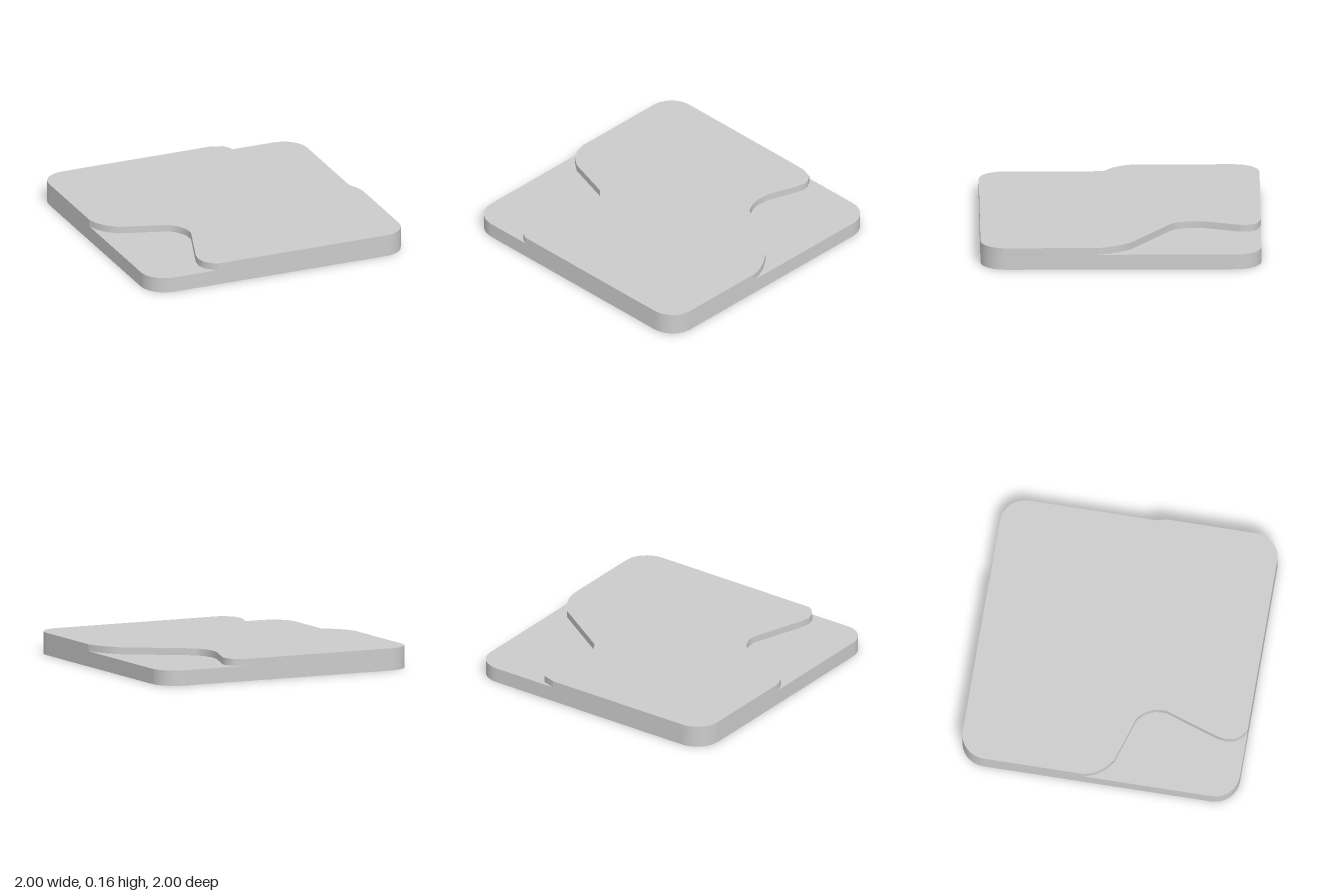
import * as THREE from 'three';

const BASE = 0.11, TOP = 0.16, R = 0.18;
const material = new THREE.MeshStandardMaterial({ color: 0xcccccc, side: THREE.DoubleSide });

// Step edges as [x, z]: back step runs from the back side to the left side,
// front step runs from the front side to the right side.
const backStep = [
  [0.32, -1], [0.415, -0.97], [0.445, -0.925], [0.455, -0.88], [0.447, -0.835], [0.367, -0.6],
  [0.36, -0.5], [0.38, -0.43], [0.415, -0.366], [0.874, -0.067], [0.94, 0.02], [0.98, 0.1], [1, 0.17],
];
const frontStep = [
  [-0.48, 1], [-0.52, 0.975], [-0.56, 0.928], [-0.575, 0.864], [-0.564, 0.794], [-0.43, 0.4],
  [-0.436, 0.32], [-0.473, 0.25], [-0.52, 0.206], [-0.858, 0.1], [-0.928, 0.045], [-0.976, -0.024], [-1, -0.1],
];

// Rounded corner in the quadrant (sx, sz), running from angle a through a quarter turn
function corner(sx, sz, a) {
  const pts = [];
  for (let i = 0; i <= 8; i++) {
    const t = a + (i / 8) * Math.PI / 2;
    pts.push([sx * (1 - R) + R * Math.cos(t), sz * (1 - R) + R * Math.sin(t)]);
  }
  return pts;
}

// Flat horizontal face bounded by an outline
function plate(name, outline, y) {
  const shape = new THREE.Shape(outline.map(([x, z]) => new THREE.Vector2(x, -z)));
  const geo = new THREE.ShapeGeometry(shape);
  geo.rotateX(-Math.PI / 2);
  geo.translate(0, y, 0);
  const mesh = new THREE.Mesh(geo, material);
  mesh.name = name;
  return mesh;
}

// Vertical strip along a path; its front lies to the outside of a clockwise (from above) path
function wall(name, path, y0, y1) {
  const pos = [], idx = [];
  path.forEach(([x, z], i) => {
    pos.push(x, y0, z, x, y1, z);
    if (i) {
      const a = 2 * (i - 1);
      idx.push(a, a + 1, a + 2, a + 1, a + 3, a + 2);
    }
  });
  const geo = new THREE.BufferGeometry();
  geo.setAttribute('position', new THREE.Float32BufferAttribute(pos, 3));
  geo.setIndex(idx);
  geo.computeVertexNormals();
  const mesh = new THREE.Mesh(geo, material);
  mesh.name = name;
  return mesh;
}

export function createModel() {
  const group = new THREE.Group();
  group.name = 'steppedTile';

  const backLeft = corner(1, -1, -Math.PI / 2);
  const frontLeft = corner(1, 1, 0);
  const frontRight = corner(-1, 1, Math.PI / 2);
  const backRight = corner(-1, -1, Math.PI);

  // Rim parts belonging to the raised area
  const raisedFront = [backStep.at(-1), ...frontLeft, frontStep[0]];
  const raisedBack = [frontStep.at(-1), ...backRight, backStep[0]];

  // Top faces
  group.add(plate('raisedTop', [...backStep, ...frontLeft, ...frontStep, ...backRight], TOP));
  group.add(plate('lowTopBack', [...backLeft, ...[...backStep].reverse()], BASE));
  group.add(plate('lowTopFront', [...frontRight, ...[...frontStep].reverse()], BASE));

  // Outer walls: full height around the raised area, lower at the two stepped corners
  group.add(wall('raisedWallFront', raisedFront, 0, TOP));
  group.add(wall('raisedWallBack', raisedBack, 0, TOP));
  group.add(wall('lowWallBack', [backStep[0], ...backLeft, backStep.at(-1)], 0, BASE));
  group.add(wall('lowWallFront', [frontStep[0], ...frontRight, frontStep.at(-1)], 0, BASE));

  // Risers between the low corners and the raised top
  group.add(wall('riserBack', backStep, BASE, TOP));
  group.add(wall('riserFront', frontStep, BASE, TOP));
  return group;
}
